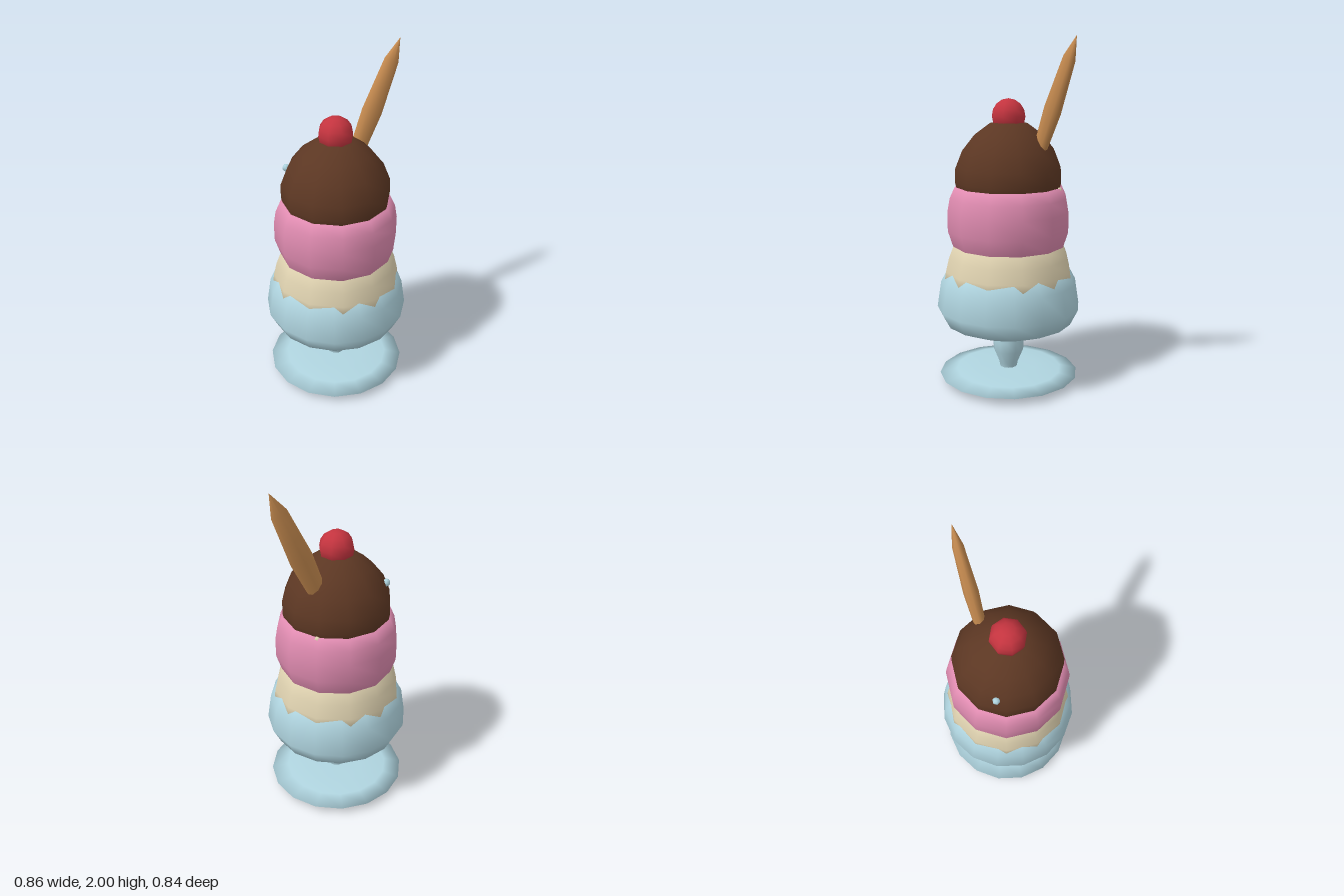
import * as THREE from 'three';

const CX = -0.013; // axis of the glass; the wafer leans out to +x

function paint(name, hex) {
  const m = new THREE.MeshStandardMaterial({ color: hex });
  m.name = name;
  return m;
}

export function createModel() {
  const glass = paint('pale blue glass', 0xb0d5e0);
  const cream = paint('vanilla cream', 0xdfd2b0);
  const pink = paint('strawberry pink', 0xdf8bb0);
  const brown = paint('chocolate brown', 0x5c3723);
  const red = paint('cherry red', 0xc4343f);
  const tan = paint('wafer tan', 0xc58a4f);

  const group = new THREE.Group();
  group.name = 'sundae';

  const add = (name, geometry, material, x = CX, y = 0, z = 0) => {
    const mesh = new THREE.Mesh(geometry, material);
    mesh.name = name;
    mesh.position.set(x, y, z);
    group.add(mesh);
    return mesh;
  };
  // profile pairs are [radius, height], bottom to top
  const lathe = (profile, sides, turn = 0) =>
    new THREE.LatheGeometry(profile.map(([r, y]) => new THREE.Vector2(r, y)), sides, turn);

  // Glass: foot, stem and bowl
  add('foot', lathe([[0, 0.005], [0.18, 0.008], [0.31, 0.018], [0.41, 0.044],
    [0.31, 0.066], [0.17, 0.075], [0, 0.077]], 16), glass);
  add('stem', lathe([[0.048, 0.06], [0.055, 0.1], [0.088, 0.18], [0.092, 0.24], [0.09, 0.32]], 12), glass);
  add('bowl', lathe([[0, 0.304], [0.12, 0.305], [0.235, 0.312], [0.375, 0.37], [0.42, 0.46],
    [0.397, 0.61], [0.354, 0.69], [0.28, 0.74], [0, 0.75]], 16), glass);

  // Scoops, twelve-sided with flat sides facing the axes
  const turn = Math.PI / 12;
  add('bowlUnderside', lathe([[0, 0.29], [0.1, 0.292], [0.13, 0.308]], 12, turn), cream);
  add('vanillaScoop', lathe([[0.3, 0.5], [0.379, 0.62], [0.371, 0.68], [0.352, 0.76],
    [0.325, 0.83], [0.27, 0.89], [0, 0.93]], 12, turn), cream);
  add('strawberryScoop', lathe([[0, 0.74], [0.29, 0.77], [0.327, 0.83], [0.356, 0.92], [0.357, 1.03],
    [0.343, 1.11], [0.315, 1.17], [0.24, 1.185], [0, 1.19]], 12, turn), pink);
  add('chocolateScoop', lathe([[0.26, 1.08], [0.3, 1.15], [0.31, 1.2], [0.308, 1.28], [0.268, 1.38],
    [0.2, 1.465], [0.11, 1.53], [0, 1.55]], 12, turn), brown);

  // Cherry
  add('cherry', new THREE.SphereGeometry(0.1, 8, 8), red, CX, 1.57);

  // Wafer: tapering stick, flattened front to back
  const wafer = add('wafer', lathe([[0, -0.16], [0.042, -0.14], [0.053, 0], [0.065, 0.2],
    [0.056, 0.34], [0.046, 0.5], [0, 0.63]], 8), tan, 0.175, 1.43, -0.112);
  wafer.geometry.scale(1, 1, 0.62);
  wafer.quaternion.setFromUnitVectors(
    new THREE.Vector3(0, 1, 0), new THREE.Vector3(0.255, 0.57, -0.053).normalize());

  // Small crumbs at the back of the chocolate scoop
  add('crumb', new THREE.SphereGeometry(0.022, 6, 5), glass, -0.262, 1.355, -0.122);
  add('creamCrumb', new THREE.SphereGeometry(0.02, 6, 5), cream, 0.205, 1.16, -0.205);

  return group;
}
